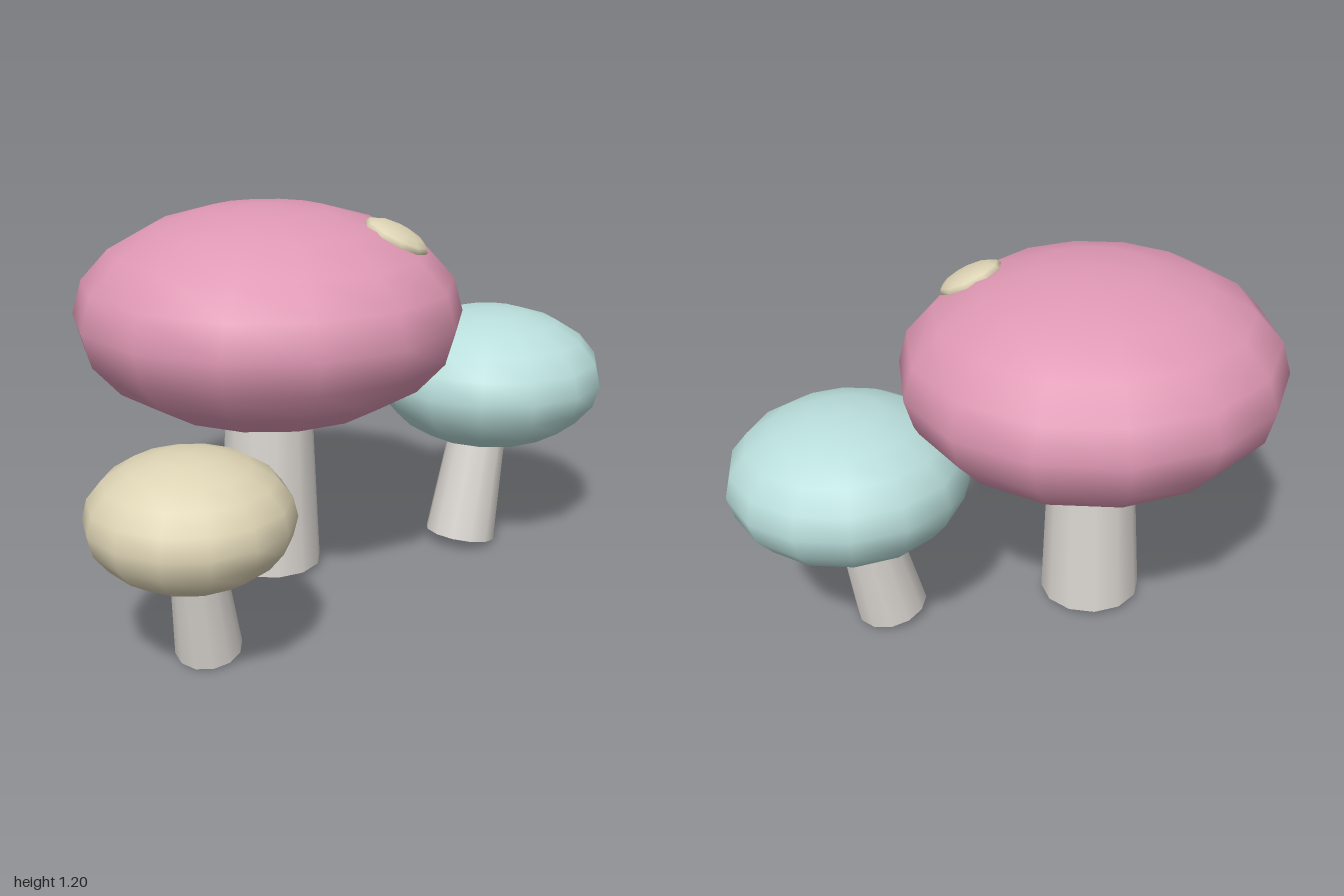
import * as THREE from 'three';

const UP = new THREE.Vector3(0, 1, 0);

function material(name, hex) {
  const m = new THREE.MeshStandardMaterial({ color: hex });
  m.name = name;
  return m;
}

// Flattened low-poly ball with smooth normals
function ellipsoid(name, mat, radius, halfHeight, center, around, rings) {
  const geo = new THREE.SphereGeometry(1, around, rings);
  geo.rotateY(Math.PI / 2);
  geo.scale(radius, halfHeight, radius);
  const mesh = new THREE.Mesh(geo, mat);
  mesh.name = name;
  mesh.position.set(...center);
  return mesh;
}

// Tapered stem running from its foot up into the middle of the cap
function stem(mat, foot, top, footRadius, topRadius) {
  const a = new THREE.Vector3(...foot);
  const b = new THREE.Vector3(...top);
  const dir = b.clone().sub(a);
  const mesh = new THREE.Mesh(
    new THREE.CylinderGeometry(topRadius, footRadius, dir.length(), 12), mat);
  mesh.name = 'stem';
  mesh.position.copy(a).add(b).multiplyScalar(0.5);
  mesh.quaternion.setFromUnitVectors(UP, dir.normalize());
  return mesh;
}

export function createModel() {
  const pink = material('pink', 0xdf98b3);
  const teal = material('pale teal', 0xb9dedb);
  const cream = material('cream', 0xded4b5);
  const stalk = material('pale grey', 0xdbd7d2);

  const model = new THREE.Group();
  model.name = 'mushrooms';

  const mushrooms = [
    { name: 'largeMushroom', mat: pink, cap: [-0.1, 0.862, -0.05], r: 0.612, h: 0.343,
      foot: [-0.1, 0.025, -0.05], footR: 0.167, topR: 0.125 },
    { name: 'mediumMushroom', mat: teal, cap: [0.63, 0.582, 0.23], r: 0.379, h: 0.232,
      foot: [0.52, 0.03, 0.23], footR: 0.118, topR: 0.083 },
    { name: 'smallMushroom', mat: cream, cap: [-0.715, 0.47, 0.37], r: 0.29, h: 0.186,
      foot: [-0.625, 0.028, 0.315], footR: 0.097, topR: 0.066 },
  ];
  for (const m of mushrooms) {
    const group = new THREE.Group();
    group.name = m.name;
    group.add(ellipsoid('cap', m.mat, m.r, m.h, m.cap, 14, 10));
    group.add(stem(stalk, m.foot, m.cap, m.footR, m.topR));
    model.add(group);
  }

  // Spot lying along the slope of the large cap
  const spot = ellipsoid('spot', cream, 0.107, 0.036, [0.148, 1.112, 0.26], 10, 8);
  spot.quaternion.setFromUnitVectors(UP, new THREE.Vector3(0.275, 0.898, 0.341).normalize());
  model.getObjectByName('largeMushroom').add(spot);

  return model;
}
